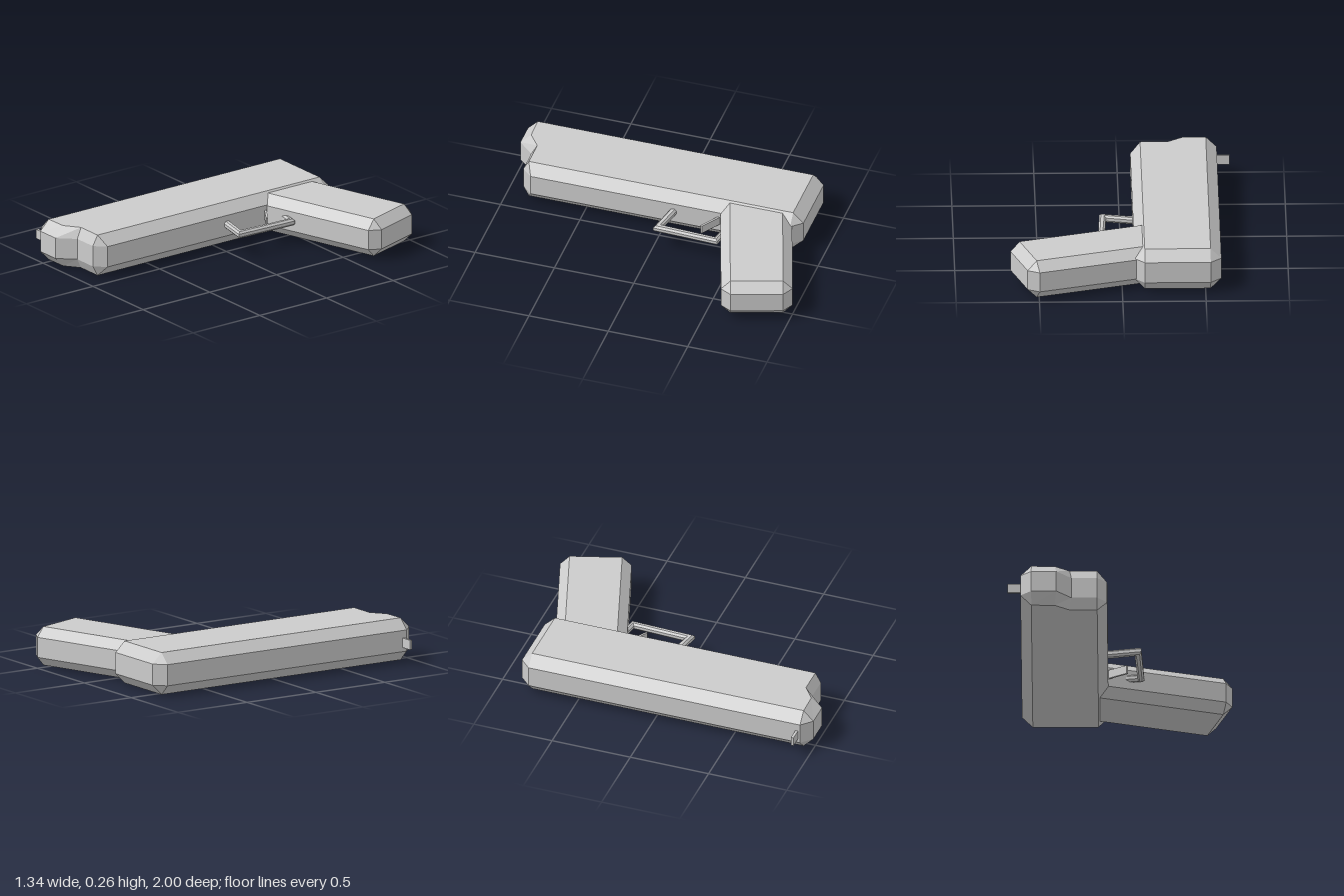
import * as THREE from 'three';

const material = new THREE.MeshStandardMaterial({ color: 0xcccccc, flatShading: true });

// Solid lying flat: a wide middle outline and an inset outline on the top and bottom faces.
// Outlines are [x, z] points; heights are the four levels from bottom to top.
function bevelledSolid(outer, inset, heights) {
  const pos = [];
  const rings = [inset, outer, outer, inset].map((loop, k) =>
    loop.map(([x, z]) => new THREE.Vector3(x, heights[k], z)));
  const tri = (a, b, c) => {
    if (a.equals(b) || b.equals(c) || a.equals(c)) return;
    for (const p of [a, b, c]) pos.push(p.x, p.y, p.z);
  };
  const n = outer.length;
  for (let k = 0; k < 3; k++) {
    for (let i = 0; i < n; i++) {
      const j = (i + 1) % n;
      tri(rings[k][i], rings[k][j], rings[k + 1][j]);
      tri(rings[k][i], rings[k + 1][j], rings[k + 1][i]);
    }
  }
  // flat caps
  for (const [ring, up] of [[rings[0], false], [rings[3], true]]) {
    const pts = ring.filter((p, i) => !p.equals(ring[(i + 1) % n]));
    const flat = pts.map(p => new THREE.Vector2(p.x, p.z));
    for (const [a, b, c] of THREE.ShapeUtils.triangulateShape(flat, [])) {
      const area = flat[b].clone().sub(flat[a]).cross(flat[c].clone().sub(flat[a]));
      if ((area < 0) === up) tri(pts[a], pts[b], pts[c]);
      else tri(pts[a], pts[c], pts[b]);
    }
  }
  const geo = new THREE.BufferGeometry();
  geo.setAttribute('position', new THREE.Float32BufferAttribute(pos, 3));
  geo.computeVertexNormals();
  return geo;
}

export function createModel() {
  const model = new THREE.Group();
  const add = (name, geo) => {
    const mesh = new THREE.Mesh(geo, material);
    mesh.name = name;
    model.add(mesh);
    return mesh;
  };

  // long body with a stepped front end
  add('body', bevelledSolid(
    [[-0.595, 0.935], [-0.53, 0.997], [-0.38, 0.997], [-0.29, 0.9], [-0.135, 0.9],
      [-0.075, 0.835], [-0.075, -0.8], [-0.135, -0.865], [-0.53, -0.865], [-0.595, -0.8]],
    [[-0.53, 0.935], [-0.53, 0.935], [-0.39, 0.932], [-0.3, 0.865], [-0.135, 0.865],
      [-0.135, 0.865], [-0.135, -0.8], [-0.135, -0.8], [-0.53, -0.8], [-0.53, -0.8]],
    [0, 0.065, 0.195, 0.258]));

  // slanted grip: a chamfered box, s along its length and t across it
  const place = ([s, t]) => [0.951 * s + 0.31 * t, -0.31 * s + 0.951 * t];
  const s0 = -0.1, s1 = 0.84, t0 = -0.796, t1 = -0.366, b = 0.057;
  const corners = [[s0, t1, 1, -1], [s1, t1, -1, -1], [s1, t0, -1, 1], [s0, t0, 1, 1]];
  const outer = [], inset = [];
  corners.forEach(([s, t, ds, dt], i) => {
    const pair = [[s, t + b * dt], [s + b * ds, t]];
    if (i % 2) pair.reverse();
    outer.push(...pair.map(place));
    const inner = place([s + b * ds, t + b * dt]);
    inset.push(inner, inner);
  });
  add('grip', bevelledSolid(outer, inset, [0.01, 0.067, 0.19, 0.247]));

  // bent rod guard with chamfered edges
  const guardShape = new THREE.Shape([
    [-0.12, -0.05], [0.125, 0], [0.141, -0.41], [0, -0.435],
    [0.0, -0.4], [0.1, -0.382], [0.085, -0.05], [-0.12, -0.095],
  ].map(([x, z]) => new THREE.Vector2(x, z)));
  const guard = new THREE.ExtrudeGeometry(guardShape, {
    depth: 0.019, bevelEnabled: true, bevelSegments: 1,
    bevelThickness: 0.012, bevelSize: 0.012, bevelOffset: -0.012,
  });
  guard.rotateX(Math.PI / 2);
  add('triggerGuard', guard).position.y = 0.146;

  // thin slanted trigger blade
  const trigger = add('trigger', new THREE.BoxGeometry(0.17, 0.053, 0.013));
  trigger.position.set(-0.032, 0.137, -0.322);
  trigger.rotation.y = -0.57;

  // small plate sight near the front
  add('frontSight', new THREE.BoxGeometry(0.12, 0.058, 0.016)).position.set(-0.612, 0.119, 0.914);

  return model;
}
